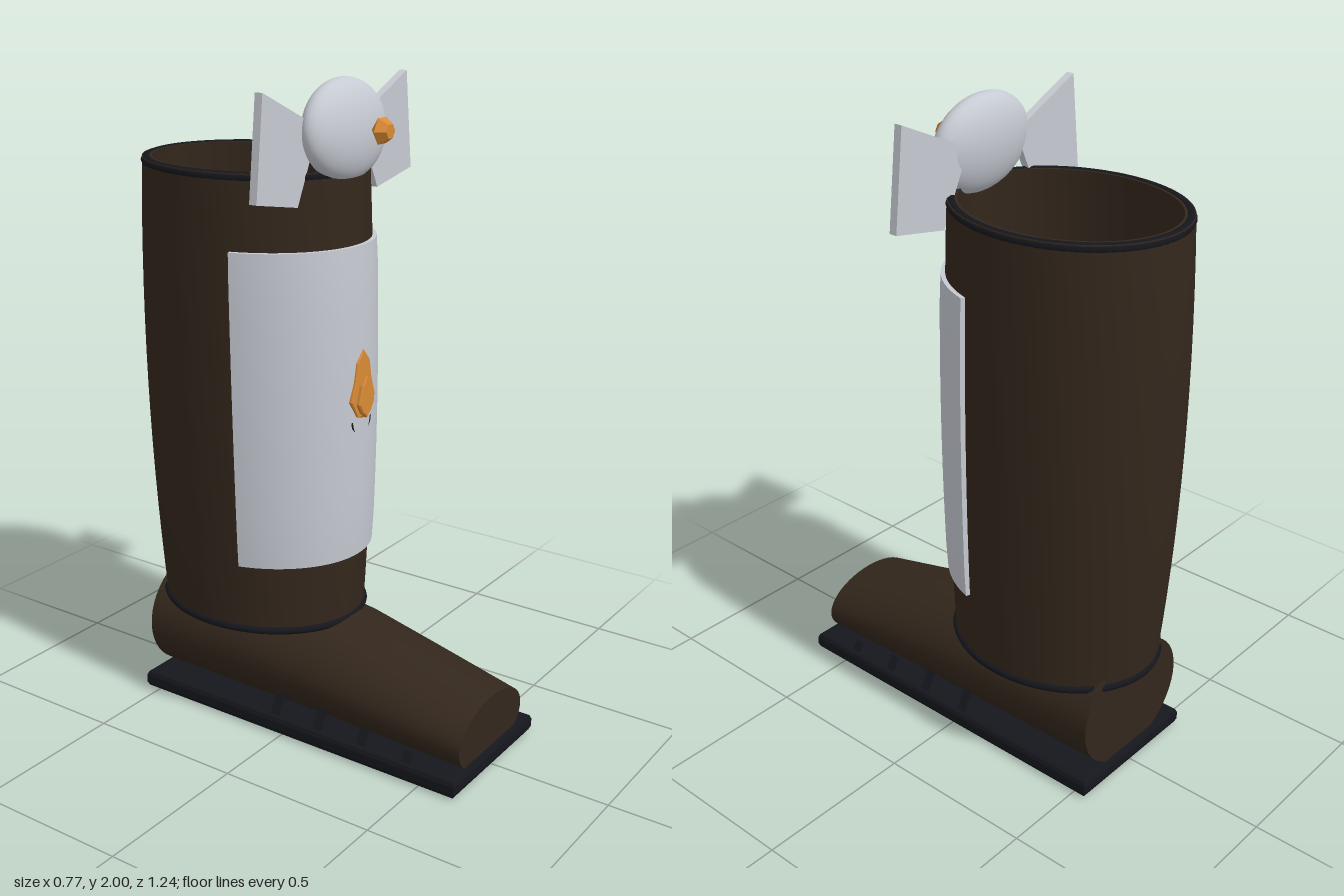
import * as THREE from 'three';
import { toCreasedNormals } from 'three/addons/utils/BufferGeometryUtils.js';
import { ParametricGeometry } from 'three/addons/geometries/ParametricGeometry.js';

const mat = (color, extra = {}) => new THREE.MeshStandardMaterial({ color, side: THREE.DoubleSide, ...extra });
const brown = mat(0x33271c), dark = mat(0x15171d), pale = mat(0xc6cad2);
const orange = mat(0xd98a35, { flatShading: true });

// Elliptical outline of the shaft at height y
function section(y) {
  const t = (y - 0.34) / 1.41;
  return {
    rx: 0.28 + 0.073 * t - 0.053 * t * t,
    rz: 0.336 + 0.119 * t - 0.098 * t * t,
    cz: -0.233 - 0.033 * t + 0.018 * t * t,
  };
}
function onShaft(angle, y, offset, target) {
  const s = section(y);
  return target.set((s.rx + offset) * Math.sin(angle), y, s.cz + (s.rz + offset) * Math.cos(angle));
}

// Surface through a list of rows; place(u, row, target) sets each point
function loft(rows, slices, place, crease = 0.6) {
  const n = rows.length - 1;
  const geo = new ParametricGeometry((u, v, target) => {
    const k = Math.min(Math.floor(v * n + 1e-6), n - 1), f = v * n - k;
    place(u, rows[k].map((a, i) => a + (rows[k + 1][i] - a) * f), target);
  }, slices, n);
  return toCreasedNormals(geo, crease);
}

export function createModel() {
  const root = new THREE.Group();
  const add = (name, geo, material, parent = root) => {
    const mesh = new THREE.Mesh(geo, material);
    mesh.name = name;
    parent.add(mesh);
    return mesh;
  };
  const extrude = (shape, depth, bevel = 0, segs = 1) => new THREE.ExtrudeGeometry(shape, {
    depth, bevelEnabled: bevel > 0, bevelSize: bevel, bevelThickness: bevel, bevelOffset: -bevel, bevelSegments: segs,
  });
  const polygon = (pts) => new THREE.Shape(pts.map(([x, y]) => new THREE.Vector2(x, y)));

  // Shaft: outer wall up, over the rim, inner wall down
  const wall = [];
  for (let i = 0; i <= 14; i++) wall.push([0.34 + 1.41 * i / 14, 0]);
  for (let i = 14; i >= 0; i--) wall.push([0.34 + 1.41 * i / 14, -0.03]);
  add('shaft', loft(wall, 64, (u, [y, off], p) => onShaft(u * Math.PI * 2, y, off, p)), brown);

  // Trim rings at both ends of the shaft
  const ring = (name, y, offset, radius) => {
    const pts = [];
    for (let i = 0; i < 48; i++) pts.push(onShaft(i / 48 * Math.PI * 2, y, offset, new THREE.Vector3()));
    add(name, new THREE.TubeGeometry(new THREE.CatmullRomCurve3(pts, true), 96, radius, 8, true), dark);
  };
  ring('topTrim', 1.738, -0.013, 0.016);
  ring('ankleTrim', 0.348, -0.003, 0.013);

  // Foot: tapering oval sections [z, centreY, radiusX, radiusY], closed at toe and heel
  const foot = [
    [0.61, 0.12, 0, 0], [0.61, 0.12, 0.187, 0.107], [0.36, 0.155, 0.2, 0.137], [0.1, 0.19, 0.213, 0.166],
    [-0.2, 0.213, 0.222, 0.187], [-0.53, 0.225, 0.225, 0.195], [-0.53, 0.225, 0, 0],
  ];
  add('foot', loft(foot, 48, (u, [z, cy, rx, ry], p) => {
    const a = u * Math.PI * 2;
    p.set(rx * Math.sin(a), cy + ry * Math.cos(a), z);
  }), brown);

  // Sole slab with chamfered edges
  const sole = extrude(polygon([[-0.24, -0.625], [0.24, -0.625], [0.24, 0.545], [-0.24, 0.545]]), 0.025, 0.0175, 2);
  sole.rotateX(-Math.PI / 2).translate(0, 0.0175, 0);
  add('sole', sole, dark);

  // Small leaning tabs between sole and foot
  for (const side of [1, -1]) {
    for (let i = 0; i < 4; i++) {
      const h = 0.04 + 0.015 * i;
      const tab = add('soleTab', new THREE.BoxGeometry(0.006, h, 0.03), dark);
      tab.position.set(side * (0.225 - h * 0.25), 0.05 + h / 2, 0.45 - 0.16 * i);
      tab.rotation.z = side * 0.5;
    }
  }

  // Front panel wrapped over the shaft, its border folded down to the surface
  const panel = [[0.565, -0.005], [0.565, 0.013]];
  for (let i = 1; i < 12; i++) panel.push([0.565 + 0.965 * i / 12, 0.015]);
  panel.push([1.53, 0.013], [1.53, -0.005]);
  const slices = 34, spread = 1.225;
  add('frontPanel', loft(panel, slices, (u, [y, off], p) => {
    const i = Math.round(u * slices);
    const t = THREE.MathUtils.clamp((u * slices - 1) / (slices - 2), 0, 1);
    onShaft((t * 2 - 1) * spread, y, i === 0 || i === slices ? -0.005 : off, p);
  }), pale);

  // Head with two side fins
  const head = add('head', new THREE.SphereGeometry(1, 40, 24), pale);
  head.scale.set(0.187, 0.145, 0.07);
  head.position.set(0, 1.855, 0.072);
  head.rotation.x = -0.1;
  for (const side of [1, -1]) {
    const pts = [[0.386, 1.695], [0.354, 1.987], [0.1, 1.87], [0.2, 1.66]].map(([x, y]) => [x * side, y]);
    const fin = extrude(polygon(pts), 0.025);
    fin.translate(0, 0, 0.028);
    add(side > 0 ? 'leftFin' : 'rightFin', fin, pale);
  }

  // Faceted nose stud
  const stud = new THREE.LatheGeometry(
    [[0, 0.163], [0.042, 0.197], [0.022, 0.226], [0, 0.226]].map(([r, y]) => new THREE.Vector2(r, y)), 6);
  stud.rotateY(Math.PI / 6).rotateX(Math.PI / 2);
  add('noseStud', stud, orange).position.y = 1.86;

  // Two-layer flame badge
  const badge = new THREE.Group();
  badge.name = 'flameBadge';
  root.add(badge);
  const mirrored = (half) => polygon([...half, ...half.slice(1, -1).reverse().map(([x, y]) => [-x, y])]);
  const outer = extrude(mirrored([[0, 1.01], [0.03, 1.018], [0.062, 1.07], [0.042, 1.13], [0.032, 1.185], [0, 1.222]]), 0.012, 0.003);
  outer.translate(0, 0, 0.13);
  add('outerFlame', outer, orange, badge);
  const inner = extrude(mirrored([[0, 1.012], [0.022, 1.03], [0.04, 1.06], [0.022, 1.115], [0, 1.145]]), 0.012, 0.004);
  inner.translate(0, 0, 0.142);
  add('innerFlame', inner, orange, badge);

  // Half ring under the badge
  const arc = new THREE.TorusGeometry(0.047, 0.006, 8, 24, Math.PI);
  arc.rotateZ(Math.PI);
  add('halfRing', arc, dark).position.set(0, 1.005, 0.132);

  return root;
}
